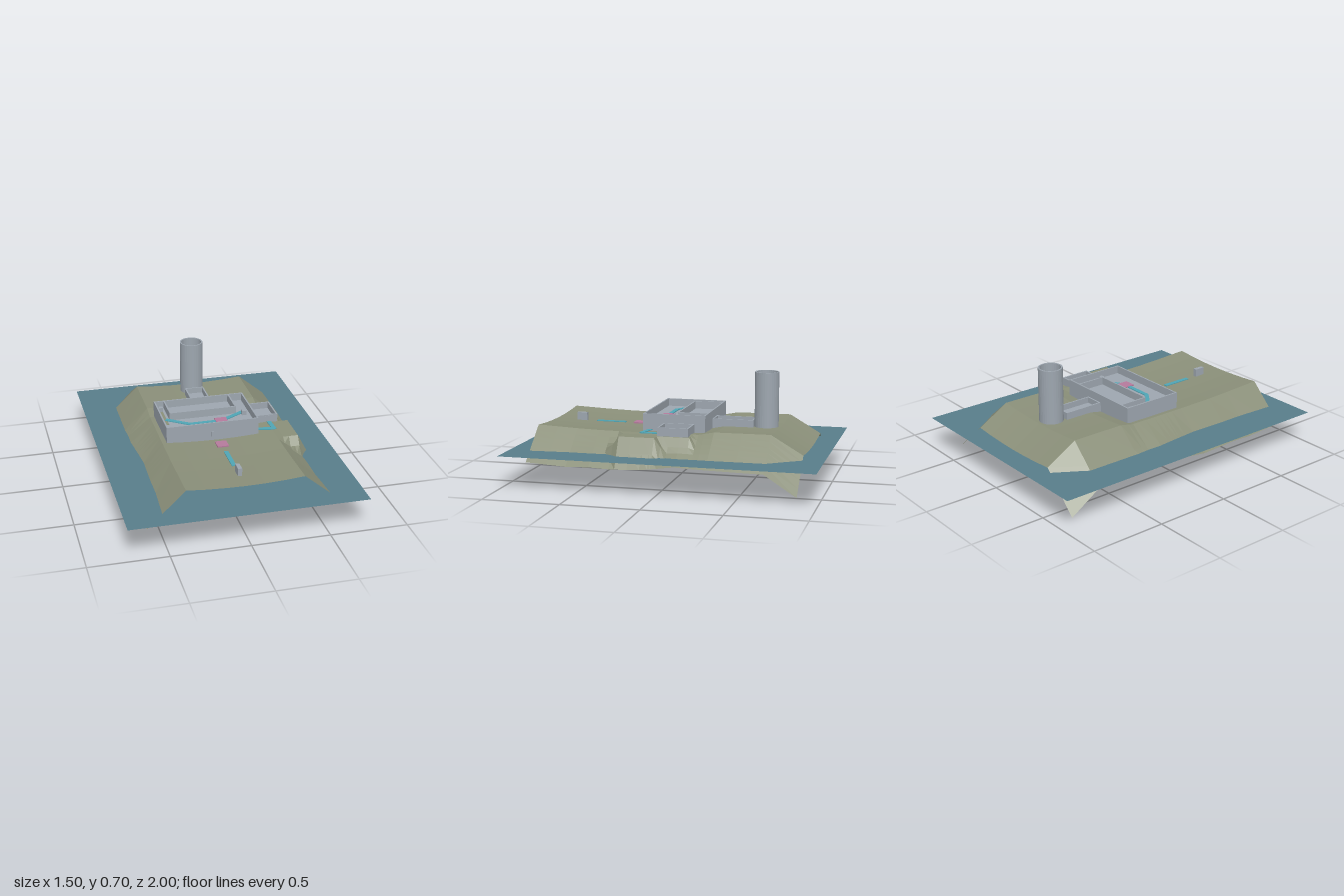
import * as THREE from 'three';

const mat = (name, color, extra = {}) => {
  const m = new THREE.MeshStandardMaterial({ color, ...extra });
  m.name = name;
  return m;
};

// piecewise linear lookup in [position, value] pairs
function lerpTable(table, t) {
  for (let i = 1; i < table.length; i++) {
    const [a, va] = table[i - 1], [b, vb] = table[i];
    if (t <= b) return va + (vb - va) * Math.max(0, (t - a) / (b - a));
  }
  return table[table.length - 1][1];
}

const RIM = [[-0.865, 0.24], [-0.66, 0.36], [-0.3, 0.358], [-0.2, 0.338], [0.2, 0.336], [0.5, 0.338], [0.865, 0.354]];
const SHORE = [[-0.865, 0], [-0.66, 0.132], [-0.3, 0.138], [-0.1, 0.145], [0.2, 0.105], [0.45, 0.115], [0.6, 0.11], [0.865, 0.125]];
const RIM_X = 0.37, EDGE_X = 0.61;
// levelled pads that push out of the slope: right edge, back, front
const PADS = [[0.51, 0.05, 0.28], [0.45, -0.16, 0.07]];

function groundHeight(x, z) {
  const a = Math.abs(x), rim = lerpTable(RIM, z);
  let y;
  if (a <= RIM_X) y = rim - 0.018 * (1 - (a / RIM_X) ** 2);
  else {
    const shore = lerpTable(SHORE, z) + (x > 0 ? 0.03 : 0);
    y = rim + (shore - rim) * (a - RIM_X) / (EDGE_X - RIM_X);
  }
  if (x > RIM_X) {
    for (const [right, back, front] of PADS) {
      const dx = Math.max(0, x - right), dz = Math.max(0, back - z, z - front);
      y = Math.max(y, 0.331 - 1.9 * dx - 1.4 * dz);
    }
  }
  return y;
}

export function createModel() {
  const model = new THREE.Group();
  const water = mat('water', 0x587d8a, { side: THREE.DoubleSide });
  const ground = mat('ground', 0x8a8f79, { side: THREE.DoubleSide, flatShading: true });
  const wall = mat('wall', 0x9da6af, { side: THREE.DoubleSide });
  const path = mat('path', 0x50a5b5);
  const marker = mat('marker', 0xb57a9c);

  const add = (name, geo, material, x = 0, y = 0, z = 0, parent = model) => {
    const mesh = new THREE.Mesh(geo, material);
    mesh.name = name;
    mesh.position.set(x, y, z);
    parent.add(mesh);
    return mesh;
  };
  // box given by its limits
  const block = (name, x0, x1, y0, y1, z0, z1, material, parent) =>
    add(name, new THREE.BoxGeometry(x1 - x0, y1 - y0, z1 - z0), material,
      (x0 + x1) / 2, (y0 + y1) / 2, (z0 + z1) / 2, parent);

  // water sheet
  add('waterSheet', new THREE.PlaneGeometry(1.5, 2).rotateX(-Math.PI / 2), water, 0, 0.215, 0);

  // island shell as a height grid
  const xs = [-0.61, -0.5, -0.37, -0.25, -0.12, 0, 0.12, 0.25, 0.37, 0.41, 0.45, 0.48, 0.51, 0.56, 0.61];
  const zs = [-0.865, -0.66, -0.48, -0.3, -0.24, -0.2, -0.16, -0.1, -0.03, 0.01, 0.05, 0.07, 0.12, 0.2, 0.28, 0.32, 0.37, 0.45, 0.6, 0.73, 0.865];
  const pos = [], idx = [], n = xs.length;
  zs.forEach((z, j) => xs.forEach((x, i) => {
    pos.push(x, groundHeight(x, z), z);
    if (i && j) {
      const d = j * n + i, c = d - 1, b = d - n, a = b - 1;
      idx.push(a, c, b, b, c, d);
    }
  }));
  const land = new THREE.BufferGeometry();
  land.setAttribute('position', new THREE.Float32BufferAttribute(pos, 3));
  land.setIndex(idx);
  land.computeVertexNormals();
  add('island', land, ground);

  // open-topped room: solid base up to the floor and four thin walls
  const T = 0.01;
  function room(name, x0, x1, z0, z1, base, floor, top) {
    const g = new THREE.Group();
    g.name = name;
    model.add(g);
    block('floor', x0, x1, base, floor, z0, z1, wall, g);
    block('backWall', x0, x1, floor, top, z0, z0 + T, wall, g);
    block('frontWall', x0, x1, floor, top, z1 - T, z1, wall, g);
    block('leftSideWall', x0, x0 + T, floor, top, z0 + T, z1 - T, wall, g);
    block('rightSideWall', x1 - T, x1, floor, top, z0 + T, z1 - T, wall, g);
    return g;
  }

  // two-storey main building with partitions
  const main = room('mainBuilding', -0.34, 0.27, -0.22, 0.19, 0.315, 0.39, 0.44);
  block('spineWall', -0.27, 0.17, 0.39, 0.44, -0.025, -0.015, wall, main);
  for (const x of [-0.27, 0.17])
    block('crossWall', x - T / 2, x + T / 2, 0.39, 0.44, -0.21, -0.02, wall, main);
  block('stairStrip', -0.318, -0.292, 0.39, 0.393, -0.17, 0.05, ground, main);
  block('stairPost', -0.32, -0.29, 0.39, 0.42, -0.175, -0.15, wall, main);
  block('stairPost', 0.205, 0.235, 0.39, 0.42, 0, 0.025, wall, main);
  block('frontDoor', -0.047, -0.022, 0.345, 0.378, 0.187, 0.193, wall, main);

  // side annex and rear corridor
  const annex = room('annex', 0.27, 0.44, -0.15, 0.05, 0.315, 0.342, 0.385);
  block('annexDoor', 0.355, 0.385, 0.342, 0.378, 0.047, 0.053, wall, annex);
  room('rearCorridor', -0.065, 0.065, -0.49, -0.22, 0.325, 0.35, 0.388);

  // hollow tower with a pierced floor
  const R = 0.078, tz = -0.565;
  const profile = [[R, 0.32], [R, 0.7], [R - 0.01, 0.7], [R - 0.01, 0.352], [0.02, 0.352], [0.02, 0.32]];
  const lathe = new THREE.LatheGeometry(profile.map(p => new THREE.Vector2(...p)), 32).toNonIndexed();
  lathe.computeVertexNormals();
  add('tower', lathe, wall, 0, 0, tz);

  // small gate block at the front
  block('gateBlock', -0.013, 0.013, 0.32, 0.38, 0.655, 0.725, wall);

  // painted routes made of thin strips
  function route(name, points, y) {
    for (let i = 1; i < points.length; i++) {
      const [ax, az] = points[i - 1], [bx, bz] = points[i];
      const len = Math.hypot(bx - ax, bz - az);
      const strip = add(name, new THREE.BoxGeometry(len + 0.01, 0.005, 0.028), path,
        (ax + bx) / 2, y + (i % 2) * 0.0005, (az + bz) / 2);
      strip.rotation.y = -Math.atan2(bz - az, bx - ax);
    }
  }
  route('upperRoute', [[-0.295, -0.015], [-0.165, 0.08], [0.05, 0.08], [0.215, -0.015]], 0.396);
  route('sideRoute', [[0.275, 0.14], [0.385, 0.165], [0.38, 0.06]], 0.338);
  route('frontRoute', [[0, 0.39], [0, 0.58]], 0.328);

  // square markers
  block('upperMarker', 0.01, 0.088, 0.394, 0.401, 0.042, 0.118, marker);
  block('frontMarker', -0.037, 0.037, 0.327, 0.335, 0.247, 0.323, marker);

  return model;
}
